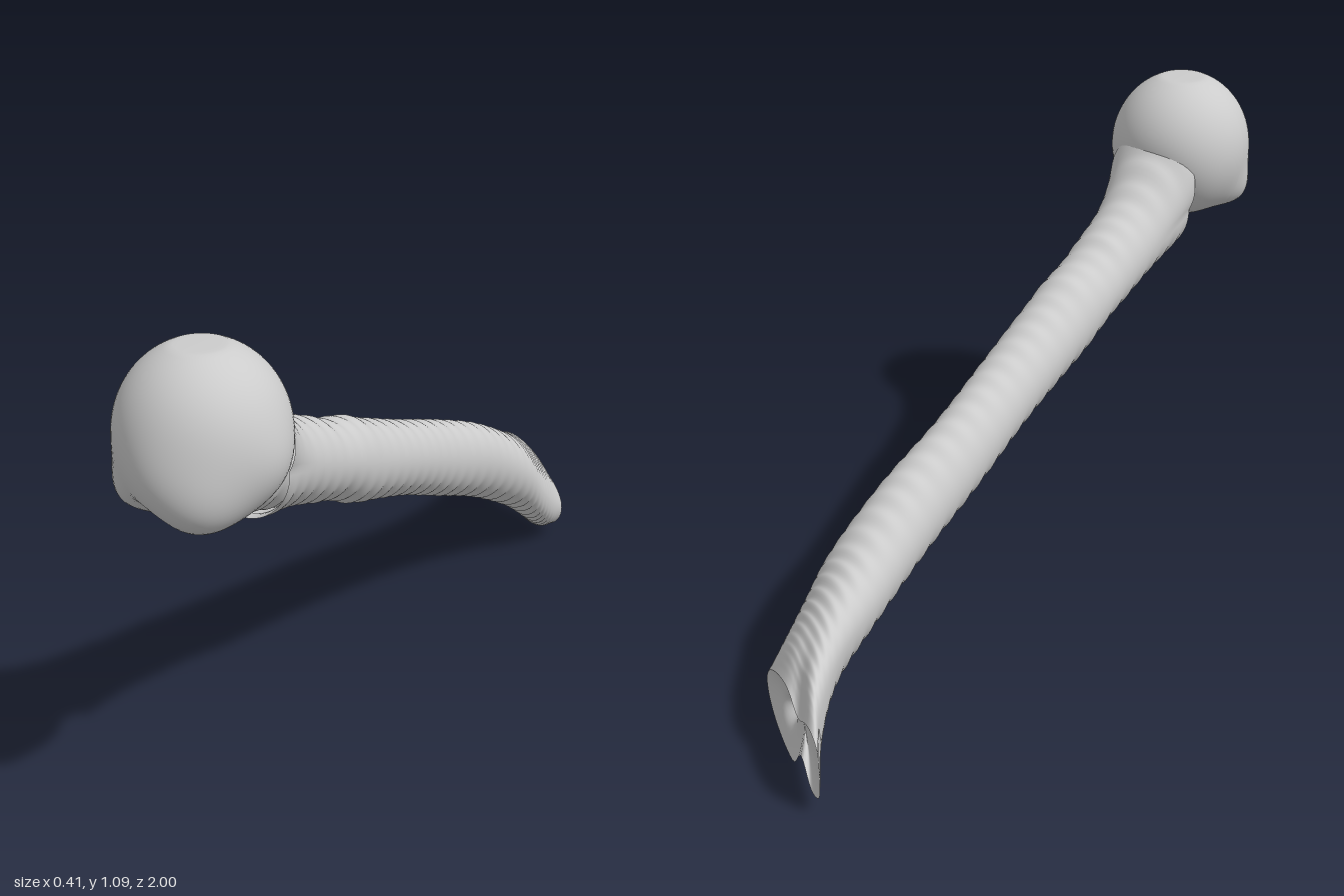
import * as THREE from 'three';

const material = new THREE.MeshStandardMaterial({ color: 0xcccccc, side: THREE.DoubleSide });
const SEG = 64;
const bell = (d, r) => Math.exp(-(d * d) / (r * r));

// Shaft stations: left edge xyz, right edge xyz, rise above and drop below the mid-line
const stations = [
  [-0.10, 0.83, 0.80, 0.07, 0.83, 0.80, 0.10, 0.10],
  [-0.11, 0.765, 0.60, 0.08, 0.765, 0.60, 0.105, 0.105],
  [-0.09, 0.688, 0.40, 0.085, 0.688, 0.40, 0.10, 0.10],
  [-0.07, 0.61, 0.20, 0.10, 0.61, 0.20, 0.10, 0.10],
  [-0.05, 0.535, 0.00, 0.11, 0.535, 0.00, 0.095, 0.095],
  [-0.035, 0.455, -0.20, 0.12, 0.455, -0.20, 0.10, 0.10],
  [-0.015, 0.372, -0.40, 0.15, 0.372, -0.40, 0.102, 0.102],
  [-0.005, 0.29, -0.60, 0.18, 0.27, -0.56, 0.10, 0.105],
  [-0.01, 0.24, -0.77, 0.19, 0.19, -0.64, 0.095, 0.12],
  [-0.05, 0.17, -0.90, 0.195, 0.13, -0.71, 0.105, 0.12],
  [-0.105, 0.12, -0.99, 0.20, 0.10, -0.76, 0.09, 0.105],
];
const track = (k) => new THREE.CatmullRomCurve3(
  stations.map((s) => new THREE.Vector3(s[k], s[k + 1], s[k + 2] ?? 0)));
const leftEdge = track(0), rightEdge = track(3), heights = track(6);

// One point on the shaft: t runs along it, a runs around it
function shaftPoint(t, a) {
  const c = Math.cos(a), s = Math.sin(a);
  const p = leftEdge.getPoint(t).lerp(rightEdge.getPoint(t), (c + 1) / 2);
  const h = heights.getPoint(t);
  const end = THREE.MathUtils.smoothstep(t, 0.78, 1);
  // the inner side of the lower end squares off into a flange
  const power = 1 - 0.6 * end * THREE.MathUtils.smoothstep(-c, 0, 0.8);
  const lift = Math.sign(s) * Math.pow(Math.abs(s), power);
  p.y += lift * (lift > 0 ? h.x : h.y);
  // notch below and groove above, between the two lobes
  if (s < 0) p.y += 0.06 * end * end * bell(c + 0.3, 0.22);
  else p.y -= 0.035 * end * end * bell(c + 0.25, 0.25);
  // fine ridges across the underside, faint ones on top
  const z = 0.8 - 1.7 * t;
  const ridge = (s < 0 ? 0.006 : 0.0025) * Math.abs(s) * (1 - end);
  p.y += ridge * Math.sin((z * Math.PI * 2) / 0.045);
  return p;
}

// Closed rings joined into a skin
function skin(rows, point, name) {
  const pos = [], index = [];
  for (let i = 0; i <= rows; i++)
    for (let j = 0; j < SEG; j++) pos.push(...point(i / rows, (j / SEG) * Math.PI * 2).toArray());
  for (let i = 0; i < rows; i++)
    for (let j = 0; j < SEG; j++) {
      const k = (j + 1) % SEG, a = i * SEG, b = a + SEG;
      index.push(a + j, b + j, b + k, a + j, b + k, a + k);
    }
  const g = new THREE.BufferGeometry();
  g.setAttribute('position', new THREE.Float32BufferAttribute(pos, 3));
  g.setIndex(index);
  g.computeVertexNormals();
  const mesh = new THREE.Mesh(g, material);
  mesh.name = name;
  return mesh;
}

// Slanted lower face, hollowed, with a small pit
function endFacePoint(t, a) {
  const mid = new THREE.Vector3(0.048, 0.12, -0.875);
  const p = shaftPoint(1, a).lerp(mid, t);
  const pit = bell(p.distanceTo(new THREE.Vector3(0.11, 0.09, -0.83)), 0.022);
  const depth = 0.025 * Math.sin((t * Math.PI) / 2) + 0.04 * pit;
  return p.add(new THREE.Vector3(-0.6, 0.15, 0.78).multiplyScalar(depth));
}

// Rounded head: a sphere swollen by knobs and pressed flat on top
function head() {
  const g = new THREE.SphereGeometry(1, 72, 54);
  const knobs = [ // direction, swell, spread
    [-0.72, -0.62, 0.35, 0.035, 0.32],
    [0.35, -0.6, 0.72, 0.03, 0.45],
    [-0.1, -0.35, 0.93, 0.015, 0.45],
    [0.95, -0.25, 0.1, 0.012, 0.4],
    [-0.22, -0.75, 0.62, -0.025, 0.2],
    [0, -0.45, -0.9, -0.02, 0.5],
  ].map(([x, y, z, swell, spread]) => ({ dir: new THREE.Vector3(x, y, z).normalize(), swell, spread }));
  const pos = g.attributes.position, v = new THREE.Vector3();
  for (let i = 0; i < pos.count; i++) {
    v.fromBufferAttribute(pos, i).normalize();
    let r = 0.178;
    for (const k of knobs) r += k.swell * bell(v.distanceTo(k.dir), k.spread);
    v.multiplyScalar(r);
    v.y = Math.min(v.y * 1.06, 0.178 + 0.1 * Math.max(0, v.y - 0.168));
    pos.setXYZ(i, v.x - 0.027, v.y + 0.917, v.z + 0.817);
  }
  g.computeVertexNormals();
  const mesh = new THREE.Mesh(g, material);
  mesh.name = 'head';
  return mesh;
}

export function createModel() {
  const group = new THREE.Group();
  group.name = 'armBone';
  group.add(head());
  group.add(skin(260, shaftPoint, 'shaft'));
  group.add(skin(24, endFacePoint, 'lowerEndFace'));
  // flared collar easing the shaft into the head
  const neck = skin(20, (t, a) => {
    const flare = Math.pow(1 - t, 2);
    const p = shaftPoint(0.06 + 0.09 * t, a);
    const c = shaftPoint(0.06 + 0.09 * t, 0).lerp(shaftPoint(0.06 + 0.09 * t, Math.PI), 0.5);
    const up = Math.sin(a) > 0 ? 0.7 : 0.05;
    return p.sub(c).multiplyScalar(1 + flare * (0.15 + up * Math.abs(Math.sin(a)))).add(c);
  }, 'neck');
  group.add(neck);
  return group;
}
